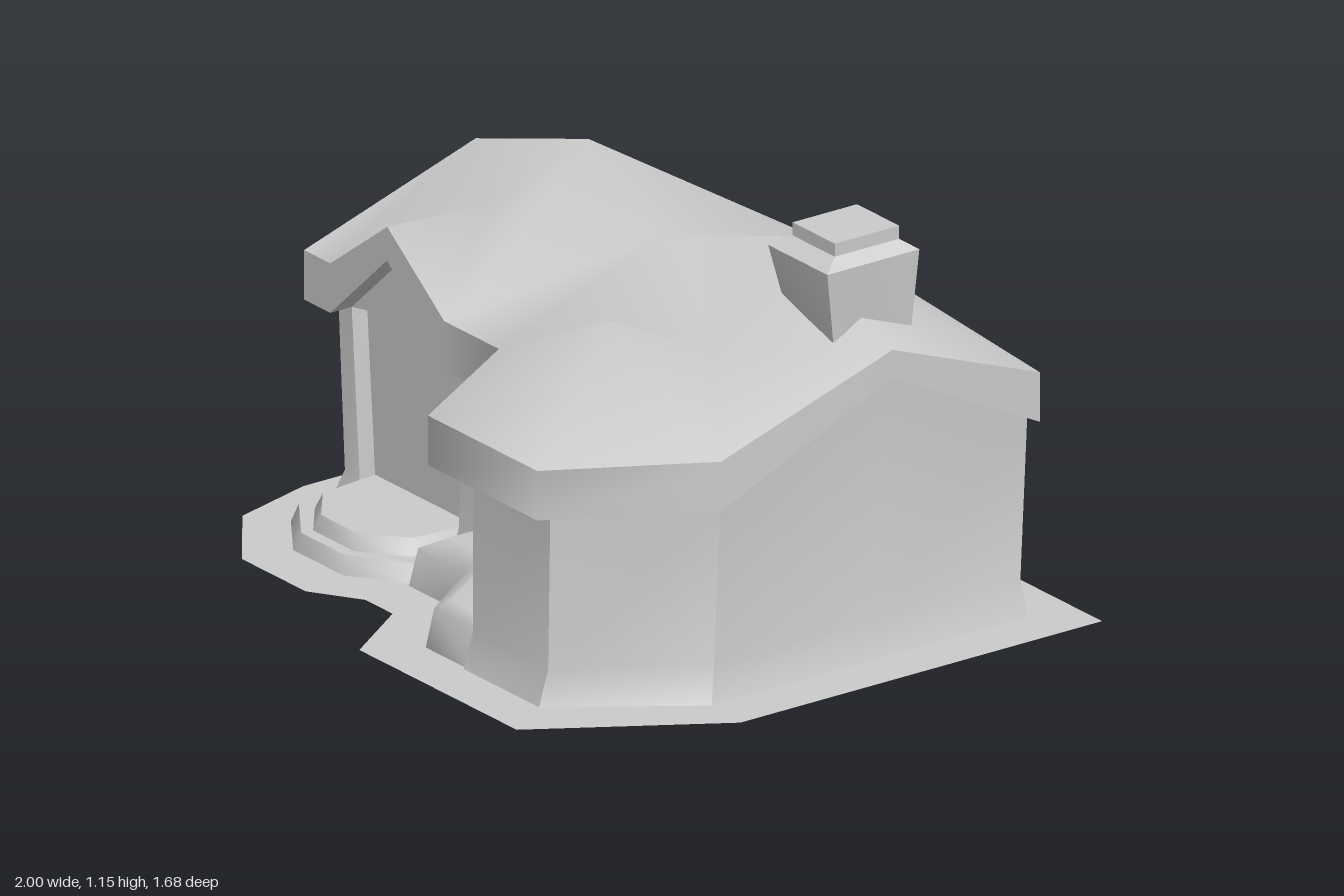
import * as THREE from 'three';
import { toCreasedNormals } from 'three/addons/utils/BufferGeometryUtils.js';

const material = new THREE.MeshStandardMaterial({ color: 0xcccccc, side: THREE.DoubleSide });

// Indexed surface; edges sharper than the crease angle stay hard
function surface(name, points, index, crease) {
  const geometry = new THREE.BufferGeometry();
  geometry.setAttribute('position', new THREE.Float32BufferAttribute(points.flat(), 3));
  geometry.setIndex(index);
  const mesh = new THREE.Mesh(toCreasedNormals(geometry, crease), material);
  mesh.name = name;
  return mesh;
}

// Skin between rows of equal point counts
function loft(name, rows, crease = 0.6, closed = false) {
  const n = rows[0].length, index = [];
  for (let r = 0; r < rows.length - 1; r++) {
    for (let i = 0; i < (closed ? n : n - 1); i++) {
      const a = r * n + i, b = r * n + (i + 1) % n;
      index.push(a, b, a + n, b, b + n, a + n);
    }
  }
  return surface(name, rows.flat(), index, crease);
}

const at = (y, outline) => outline.map(([x, z]) => [x, y, z]);

function createRoof() {
  const p = {
    // ridge, with a dip in the middle
    r0: [-0.915, 0.89, -0.22], r1: [-0.42, 1.05, -0.22], r2: [-0.08, 0.89, -0.22],
    r3: [0.42, 1.05, -0.22], r4: [0.915, 0.89, -0.22],
    // back eave
    b0: [-0.915, 0.71, -0.7], b2: [-0.08, 0.71, -0.795], b4: [0.915, 0.71, -0.7],
    // front eave with entrance gable and bay
    f0: [-0.915, 0.71, 0.34], g1: [-0.8, 0.71, 0.34], a: [-0.55, 0.895, 0.34], g2: [-0.3, 0.71, 0.34],
    f2: [-0.06, 0.71, 0.34], c1: [0.2, 0.71, 0.765], c2: [0.68, 0.71, 0.765], e: [0.915, 0.71, 0.34],
    // gable ridge end, bay peak and the valley behind it
    d: [-0.55, 0.88, 0], k: [0.44, 0.955, 0.35], v: [0.54, 0.83, 0.08],
  };
  const names = Object.keys(p);
  const faces = `r0 f0 g1,r0 g1 d,r0 d r1,g1 a d,a g2 d,d g2 r1,r1 g2 r2,g2 f2 r2,r2 f2 v,r2 v r3,
    f2 k v,r3 v r4,v e r4,v k e,k f2 c1,k c1 c2,k c2 e,b0 r0 r1,b0 r1 b2,r1 r2 b2,r2 r3 b2,r3 b4 b2,r3 r4 b4`;
  const index = faces.split(',').flatMap((face) => {
    const [a, b, c] = face.trim().split(' ');
    const [A, B, C] = [a, b, c].map((k) => new THREE.Vector3(...p[k]));
    const up = B.sub(A).cross(C.sub(A)).y > 0;
    return (up ? [a, b, c] : [a, c, b]).map((k) => names.indexOf(k));
  });
  return surface('roof', Object.values(p), index, 1.3);
}

function createWallsAndEaves() {
  const group = new THREE.Group();
  group.name = 'wallsAndEaves';

  // Fascia: [x, top y, bottom y, z], from back left round the front to back right
  const eave = [
    [-0.915, 0.71, 0.57, -0.7], [-0.915, 0.89, 0.81, -0.22], [-0.915, 0.71, 0.57, 0.34],
    [-0.8, 0.71, 0.57, 0.34], [-0.55, 0.895, 0.8, 0.34], [-0.3, 0.71, 0.57, 0.34],
    [-0.06, 0.71, 0.57, 0.34], [0.2, 0.71, 0.57, 0.765], [0.68, 0.71, 0.57, 0.765],
    [0.915, 0.71, 0.57, 0.34], [0.915, 0.89, 0.81, -0.22], [0.915, 0.71, 0.57, -0.7],
  ];
  const lower = eave.map(([x, , y, z]) => [x, y, z]);
  group.add(loft('fascia', [eave.map(([x, y, , z]) => [x, y, z]), lower], 1.1));

  // Walls: [x at top, y at top, z, x at foot], with a shallow entrance niche; the back is open
  const wall = [
    [-0.86, 0.57, -0.7, -0.83], [-0.86, 0.81, -0.22, -0.83], [-0.86, 0.6, 0.27, -0.83],
    [-0.8, 0.57, 0.27, -0.765], [-0.8, 0.57, 0.22, -0.765], [-0.55, 0.615, 0.22, -0.55],
    [-0.3, 0.57, 0.22, -0.33], [-0.3, 0.57, 0.27, -0.33], [0.03, 0.57, 0.27, 0.03],
    [0.27, 0.57, 0.67, 0.27], [0.61, 0.57, 0.67, 0.6], [0.86, 0.59, 0.3, 0.83],
    [0.86, 0.81, -0.22, 0.83], [0.86, 0.57, -0.7, 0.83],
  ];
  const top = wall.map(([x, y, z]) => [x, y, z]);
  const foot = wall.map(([, , z, x]) => [x, 0.1, z]);
  const base = wall.map(([, , z, x]) => [x + (Math.abs(x) > 0.8 ? 0.03 * Math.sign(x) : 0), 0, z > 0.25 ? z + 0.03 : z]);
  group.add(loft('walls', [top, foot, base], 0.5));

  // Gable panel above the niche, with its arched lower edge and the niche ceiling
  const arch = top.slice(4, 7);
  const archFront = arch.map(([x, y]) => [x, y, 0.27]);
  const panelTop = archFront.map(([x, y], i) => [x, i === 1 ? 0.8 : y, 0.27]);
  group.add(loft('gablePanel', [panelTop, archFront, arch]));

  // Soffit joins the fascia to the wall tops and the gable panel
  const head = [...top.slice(0, 3), ...panelTop, ...top.slice(8)];
  group.add(loft('soffit', [lower, head]));

  // Back eave: level underside, then an upright band
  group.add(loft('backBand', [
    [[-0.915, 0.71, -0.7], [-0.08, 0.71, -0.795], [0.915, 0.71, -0.7]],
    [[-0.86, 0.71, -0.7], [-0.08, 0.71, -0.7], [0.86, 0.71, -0.7]],
    [[-0.86, 0.57, -0.7], [-0.08, 0.57, -0.7], [0.86, 0.57, -0.7]],
  ]));
  return group;
}

function createChimney() {
  // Foot is notched to straddle the roof ridge
  const foot = [[0.55, 0.95, -0.13], [0.775, 0.885, -0.13], [0.775, 0.93, -0.22],
    [0.775, 0.87, -0.385], [0.66, 0.98, -0.385], [0.55, 0.9, -0.385], [0.55, 0.99, -0.22]];
  const ring = (y, x0, x1, z0, z1) => at(y, [[x0, z1], [x1, z1], [x1, -0.22], [x1, z0], [0.66, z0], [x0, z0], [x0, -0.22]]);
  return loft('chimney', [
    foot,
    ring(1.09, 0.53, 0.79, -0.4, -0.1),
    ring(1.118, 0.57, 0.755, -0.36, -0.15),
    ring(1.155, 0.57, 0.755, -0.36, -0.15),
    ring(1.155, 0.66, 0.66, -0.22, -0.22),
  ], 0.6, true);
}

function createPorch() {
  // Two half-octagon steps, mirrored about the entrance axis
  const arc = (y, half) => at(y, [
    ...half.map(([w, z]) => [-0.55 - w, z]),
    ...half.toReversed().map(([w, z]) => [-0.55 + w, z]),
  ]);
  const shrink = (half, d) => half.map(([w, z], i) => [w - d, i ? z - d : z]);
  const outer = [[0.295, 0.27], [0.275, 0.45], [0.11, 0.565]];
  const inner = [[0.23, 0.22], [0.21, 0.42], [0.09, 0.515]];
  return loft('porchSteps', [
    arc(0, outer), arc(0.05, shrink(outer, 0.015)), arc(0.05, inner),
    arc(0.095, shrink(inner, 0.015)), arc(0.095, [[0, 0.22], [0, 0.22], [0, 0.22]]),
  ], 0.9);
}

function createPlanter() {
  // Low rounded planter that bends along the bay
  return loft('planter', [
    at(0, [[-0.28, 0.25], [-0.28, 0.47], [-0.06, 0.47], [0.09, 0.69], [0.28, 0.69]]),
    at(0.11, [[-0.26, 0.25], [-0.26, 0.455], [-0.05, 0.455], [0.1, 0.67], [0.27, 0.67]]),
    at(0.145, [[-0.2, 0.25], [-0.2, 0.4], [-0.015, 0.4], [0.15, 0.65], [0.24, 0.65]]),
    at(0.145, [[-0.2, 0.25], [-0.1, 0.25], [0.03, 0.25], [0.24, 0.62], [0.26, 0.65]]),
  ], 1.2);
}

function createGround() {
  // Flat plot, open inside the walls and under the porch
  const v = ([x, z]) => new THREE.Vector2(x, -z);
  const shape = new THREE.Shape([[-1, -0.84], [1, -0.84], [1, 0.34], [0.69, 0.84], [0, 0.84], [-0.15, 0.62],
    [-0.27, 0.62], [-0.41, 0.71], [-0.69, 0.71], [-0.93, 0.53], [-1, 0.28]].map(v));
  shape.holes.push(new THREE.Path([[-0.78, -0.61], [0.78, -0.61], [0.78, 0.26], [0.57, 0.59], [0.31, 0.59],
    [0.08, 0.19], [-0.33, 0.19], [-0.35, 0.4], [-0.47, 0.49], [-0.63, 0.49], [-0.75, 0.4], [-0.77, 0.19]].map(v)));
  const mesh = new THREE.Mesh(new THREE.ShapeGeometry(shape).rotateX(-Math.PI / 2), material);
  mesh.name = 'groundPlot';
  return mesh;
}

export function createModel() {
  const model = new THREE.Group();
  model.name = 'cottage';
  model.add(createGround(), createWallsAndEaves(), createRoof(), createChimney(), createPorch(), createPlanter());
  return model;
}
